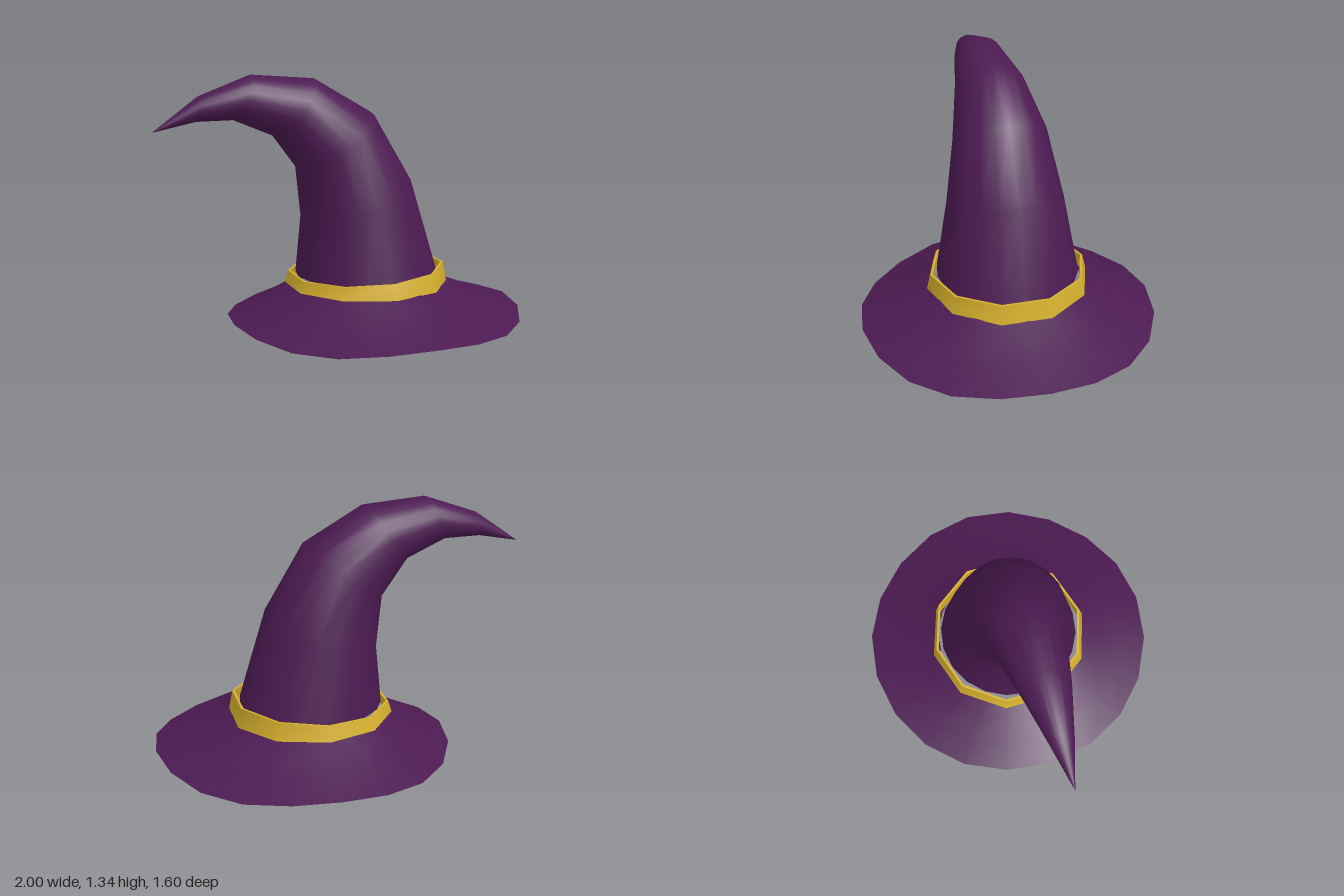
import * as THREE from 'three';
import { mergeGeometries } from 'three/addons/utils/BufferGeometryUtils.js';

// Skin closed rings of points (each counterclockwise seen from above).
function loft(rings) {
  const n = rings[0].length;
  const index = [];
  for (let i = 0; i < rings.length - 1; i++) {
    for (let j = 0; j < n; j++) {
      const k = (j + 1) % n;
      const a = i * n + j, b = i * n + k, c = b + n, d = a + n;
      index.push(a, b, c, a, c, d);
    }
  }
  const geometry = new THREE.BufferGeometry().setFromPoints(rings.flat());
  geometry.setIndex(index);
  geometry.computeVertexNormals();
  return geometry;
}

// One ring; the rule returns a point for an angle.
function ring(sides, start, rule) {
  return Array.from({ length: sides }, (_, j) => rule(start + (j / sides) * Math.PI * 2));
}

export function createModel() {
  const hat = new THREE.Group();
  hat.name = 'pointedHat';
  const cloth = new THREE.MeshStandardMaterial({ color: 0x4c1a52, side: THREE.DoubleSide });
  const gold = new THREE.MeshStandardMaterial({ color: 0xd6b02e });

  const add = (name, geometry, material) => {
    const mesh = new THREE.Mesh(geometry, material);
    mesh.name = name;
    hat.add(mesh);
  };

  // Brim: open sloping disc whose rim rises and falls gently
  const wave = (t) => 0.017 + 0.017 * Math.cos(4 * t) + 0.01 * Math.cos(t) + 0.004 * Math.cos(2 * t);
  const brimRing = ([cx, r, y, waviness]) => ring(20, 0.025, (t) =>
    new THREE.Vector3(cx + r * Math.cos(t), y + waviness * wave(t), -r * Math.sin(t)));
  add('brim', loft([
    [0.2, 0.8, 0, 1],
    [0.185, 0.64, 0.068, 0.6],
    [0.17, 0.5, 0.145, 0.2],
    [0.16, 0.41, 0.195, 0],
  ].map(brimRing)), cloth);

  // Band: ten-sided hoop, taller towards the left, crisp along its edges
  const bandRing = ([r, y, tilt]) => ring(10, Math.PI / 10, (t) =>
    new THREE.Vector3(0.155 + r * Math.cos(t), y + tilt * Math.cos(t), -0.01 - r * Math.sin(t)));
  const bandProfile = [
    [0.443, 0.192, -0.002],
    [0.423, 0.275, 0.021],
    [0.41, 0.275, 0.021],
    [0.415, 0.192, -0.002],
  ].map(bandRing);
  add('band', mergeGeometries(bandProfile.map((r, i) => loft([r, bandProfile[(i + 1) % 4]]))), gold);

  // Crown: round sections between the inner and outer side of the bend, open below
  const sections = [
    [-0.228, 0.25, 0.538, 0.265],
    [-0.2, 0.56, 0.39, 0.76],
    [-0.23, 0.83, 0.18, 1.12],
    [-0.37, 1.02, -0.14, 1.31],
    [-0.58, 1.11, -0.48, 1.34],
    [-0.78, 1.11, -0.76, 1.24],
    [-1, 1.066, -0.999, 1.069],
  ];
  add('crown', loft(sections.map(([x0, y0, x1, y1]) => {
    const hx = (x1 - x0) / 2, hy = (y1 - y0) / 2, r = Math.hypot(hx, hy);
    return ring(20, 0, (t) => new THREE.Vector3(
      x0 + hx + hx * Math.cos(t), y0 + hy + hy * Math.cos(t), -0.01 - r * Math.sin(t)));
  })), cloth);

  return hat;
}
